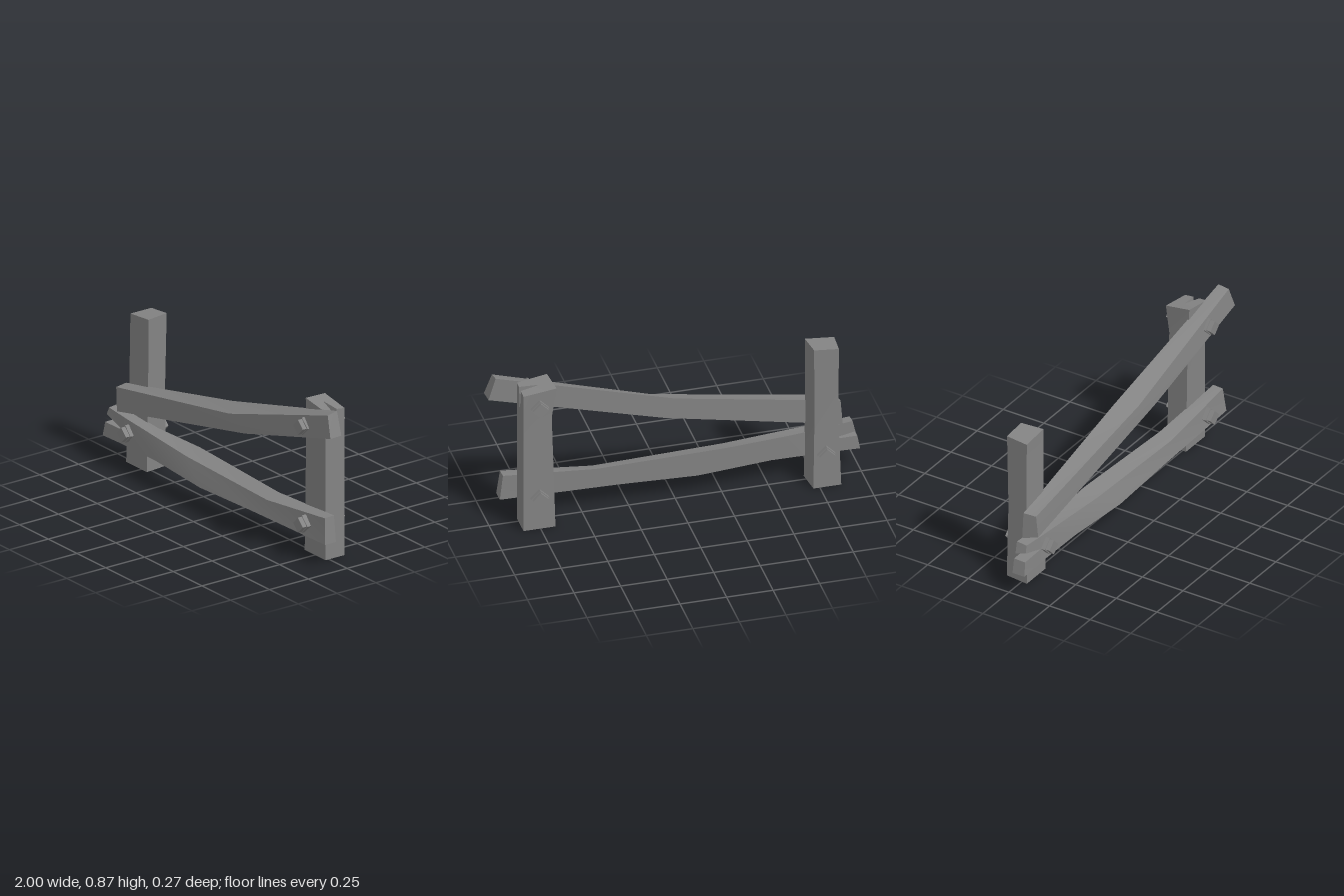
import * as THREE from 'three';
import { toCreasedNormals } from 'three/addons/utils/BufferGeometryUtils.js';

const material = new THREE.MeshStandardMaterial({ color: 0x838383 });

// Mesh from convex (or fan-friendly) polygons, with sharp edges and soft bends
function facetMesh(name, polys) {
  const pos = [];
  for (const p of polys)
    for (let i = 1; i < p.length - 1; i++) pos.push(...p[0], ...p[i], ...p[i + 1]);
  const geo = new THREE.BufferGeometry();
  geo.setAttribute('position', new THREE.Float32BufferAttribute(pos, 3));
  const mesh = new THREE.Mesh(toCreasedNormals(geo, 0.45), material);
  mesh.name = name;
  return mesh;
}

// Skin a run of four-cornered rings, with optional end caps
function loft(rings, capStart = true, capEnd = true) {
  const polys = [];
  for (let r = 0; r < rings.length - 1; r++) {
    const a = rings[r], b = rings[r + 1];
    for (let i = 0; i < 4; i++) {
      const j = (i + 1) % 4;
      polys.push([a[i], a[j], b[j], b[i]]);
    }
  }
  if (capStart) polys.push([...rings[0]].reverse());
  if (capEnd) polys.push(rings[rings.length - 1]);
  return polys;
}

// Rail ring: [x, y, z] of top back, top front, bottom front, bottom back
const railRing = (xt, xb, yTopBack, yTopFront, yBot, zb, ztf, zbf, yBotBack = yBot) => [
  [xt, yTopBack, zb], [xt, yTopFront, ztf], [xb, yBot, zbf], [xb, yBotBack, zb],
];

// Post ring: back left, front left, front right, back right
const postRing = (y, x0, x1, zb, zf, insetLeft, insetRight) => [
  [x0 + insetLeft, y, zb], [x0, y, zf], [x1, y, zf], [x1 - insetRight, y, zb],
];

function plainPost() {
  const top = [[-0.85, 0.835, -0.108], [-0.86, 0.83, 0.02], [-0.702, 0.845, 0.02], [-0.717, 0.848, -0.108]];
  return facetMesh('plainPost', loft([
    postRing(0, -0.88, -0.7, -0.1, 0.033, 0.015, 0.015),
    postRing(0.42, -0.867, -0.703, -0.1, 0.022, 0.018, 0.018),
    top,
  ]));
}

function splitPost() {
  const base = postRing(0, 0.66, 0.842, -0.1, 0.022, 0.01, 0);
  const neck = postRing(0.67, 0.675, 0.842, -0.1, 0.023, 0.015, 0);
  const top = [[0.665, 0.845, -0.105], [0.68, 0.855, 0.03], [0.842, 0.83, 0.03], [0.842, 0.82, -0.1]];
  const polys = loft([base, neck], true, false);
  for (const i of [0, 1, 3]) {
    const j = (i + 1) % 4;
    polys.push([neck[i], neck[j], top[j], top[i]]);
  }
  // Wedge-shaped crack in the outer face and top
  const tip = [0.842, 0.695, -0.03], deep = [0.74, 0.84, -0.038];
  const lipF = [0.842, 0.828, -0.013], lipB = [0.842, 0.826, -0.05];
  polys.push(
    [tip, lipF, top[2], neck[2], neck[3], top[3], lipB],
    [deep, lipB, top[3], top[0], top[1], top[2], lipF],
    [tip, deep, lipF],
    [tip, lipB, deep],
  );
  return facetMesh('splitPost', polys);
}

// One long plank with a single bend, its corners staggered along x
function upperRail() {
  return facetMesh('upperRail', loft([
    [[-0.895, 0.434, 0.022], [-0.885, 0.43, 0.093], [-0.872, 0.3, 0.098], [-0.907, 0.288, 0.022]],
    [[0, 0.612, -0.005], [0.1, 0.596, 0.093], [0.25, 0.535, 0.102], [0.05, 0.5, -0.003]],
    [[0.955, 0.87, 0.032], [0.958, 0.86, 0.094], [0.998, 0.745, 0.106], [0.993, 0.745, 0.032]],
  ]));
}

function lowerRail() {
  const rail = new THREE.Group();
  rail.name = 'lowerRail';
  const root = railRing(-0.83, -0.83, 0.283, 0.278, 0.129, 0.022, 0.085, 0.093);
  const beam = facetMesh('lowerBeam', loft([
    root,
    railRing(-0.62, -0.52, 0.268, 0.262, 0.134, 0.018, 0.086, 0.102),
    railRing(-0.28, -0.12, 0.263, 0.236, 0.12, -0.003, 0.088, 0.12),
    railRing(0.42, 0.3, 0.242, 0.217, 0.127, 0.012, 0.088, 0.108),
    railRing(0.918, 0.935, 0.275, 0.272, 0.132, 0.024, 0.083, 0.094),
  ], false, true));
  // Two splinters of the split end
  const split = 0.205;
  const upper = facetMesh('upperSplinter', loft([
    railRing(-0.96, -0.975, 0.297, 0.29, 0.25, 0.024, 0.083, 0.087, 0.232),
    [root[0], root[1], [-0.83, split, 0.089], [-0.83, split, 0.022]],
  ], true, false));
  const lower = facetMesh('lowerSplinter', loft([
    railRing(-0.985, -1, 0.205, 0.203, 0.125, 0.022, 0.09, 0.095),
    [[-0.83, split, 0.022], [-0.83, split, 0.089], root[2], root[3]],
  ], true, false));
  rail.add(beam, upper, lower);
  return rail;
}

// Square washer and head, set on a corner, at both ends of a bolt
function bolt(x, y) {
  const g = new THREE.Group();
  g.name = 'bolt';
  const block = (name, r, z0, z1) => {
    const geo = new THREE.CylinderGeometry(r, r, z1 - z0, 4).rotateX(Math.PI / 2);
    const m = new THREE.Mesh(toCreasedNormals(geo, 0.45), material);
    m.position.z = (z0 + z1) / 2;
    m.name = name;
    g.add(m);
  };
  block('frontWasher', 0.049, 0.075, 0.112);
  block('frontHead', 0.042, 0.112, 0.137);
  block('backWasher', 0.049, -0.12, -0.09);
  block('backNut', 0.042, -0.137, -0.12);
  g.position.set(x, y, 0);
  return g;
}

export function createModel() {
  const model = new THREE.Group();
  model.name = 'brokenFence';
  model.add(plainPost(), splitPost(), upperRail(), lowerRail());
  for (const [x, y] of [[-0.782, 0.205], [0.757, 0.195], [0.757, 0.74]]) model.add(bolt(x, y));
  return model;
}
